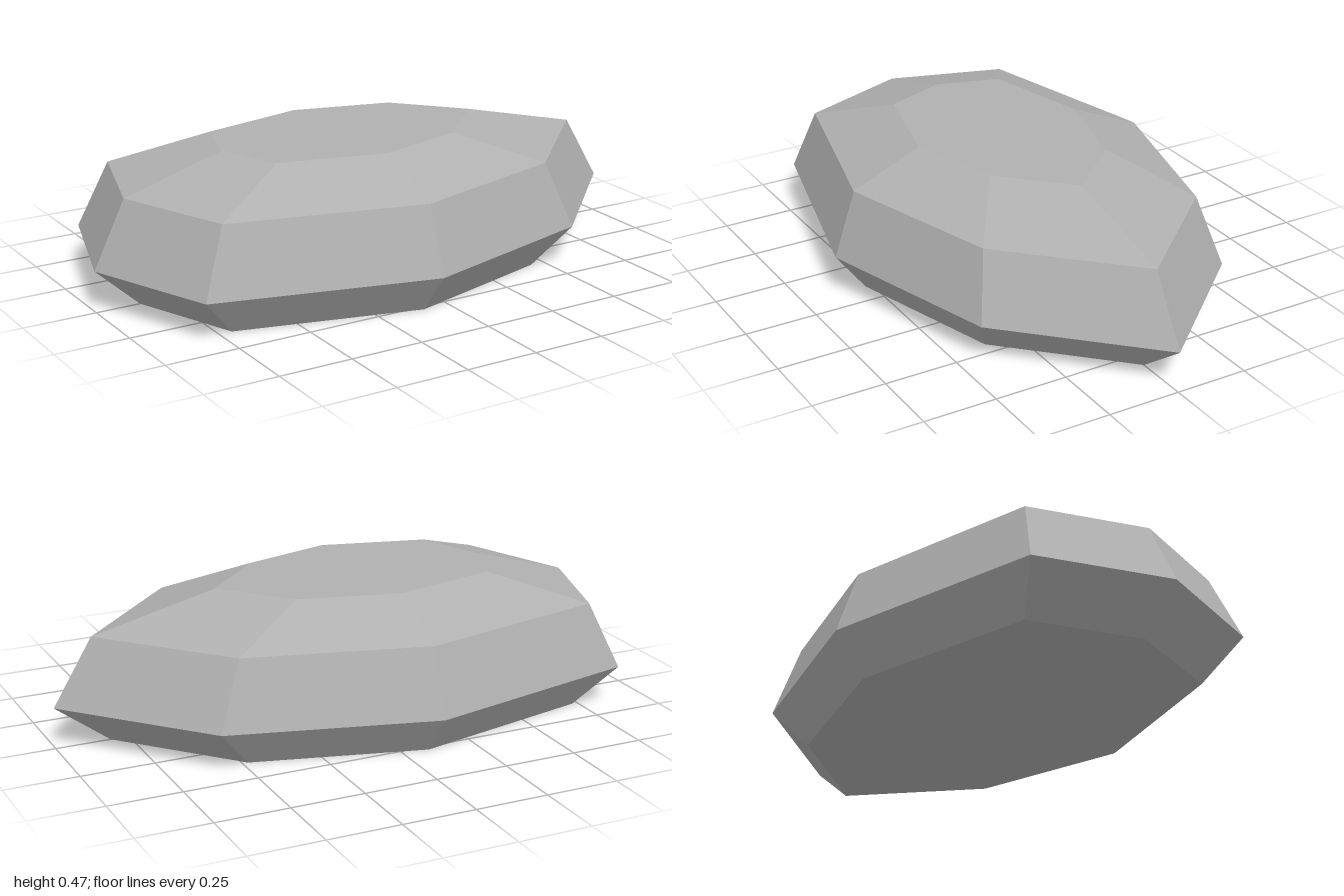
import * as THREE from 'three';

// Widest outline [x, z], counter-clockwise seen from above
const outline = [
  [1, 0], [0.6, -0.45], [-0.09, -0.632], [-0.86, -0.45],
  [-1, 0], [-0.83, 0.442], [-0.09, 0.63], [0.56, 0.442],
];
const pivotX = -0.1;

// The outline shrunk toward the pivot at a given height
function ring(scale, y) {
  return outline.map(([x, z]) => [pivotX + (x - pivotX) * scale, y, z * scale]);
}

// Flat facets from unshared triangle corners
function facets(points) {
  const geometry = new THREE.BufferGeometry();
  geometry.setAttribute('position', new THREE.Float32BufferAttribute(points.flat(), 3));
  geometry.computeVertexNormals();
  return geometry;
}

// Sloped band of facets between two rings
function band(lower, upper) {
  const points = [];
  lower.forEach((a, i) => {
    const j = (i + 1) % lower.length;
    points.push(a, lower[j], upper[j], a, upper[j], upper[i]);
  });
  return facets(points);
}

// Flat cap closing a ring, facing up or down
function cap(loop, up) {
  const centre = [pivotX, loop[0][1], 0];
  const points = [];
  loop.forEach((a, i) => {
    const b = loop[(i + 1) % loop.length];
    points.push(centre, ...(up ? [a, b] : [b, a]));
  });
  return facets(points);
}

export function createModel() {
  const group = new THREE.Group();
  group.name = 'facetedStone';
  const stoneGrey = new THREE.MeshStandardMaterial({ color: 0xb0b0b0, flatShading: true });
  stoneGrey.name = 'stoneGrey';

  const base = ring(0.83, 0);
  const girdle = ring(1, 0.14);
  const shoulder = ring(0.8775, 0.365);
  const table = ring(0.485, 0.468);

  const parts = {
    underside: cap(base, false),
    lowerBevel: band(base, girdle),
    sideFacets: band(girdle, shoulder),
    upperBevel: band(shoulder, table),
    flatTop: cap(table, true),
  };
  for (const [name, geometry] of Object.entries(parts)) {
    const mesh = new THREE.Mesh(geometry, stoneGrey);
    mesh.name = name;
    group.add(mesh);
  }
  return group;
}
